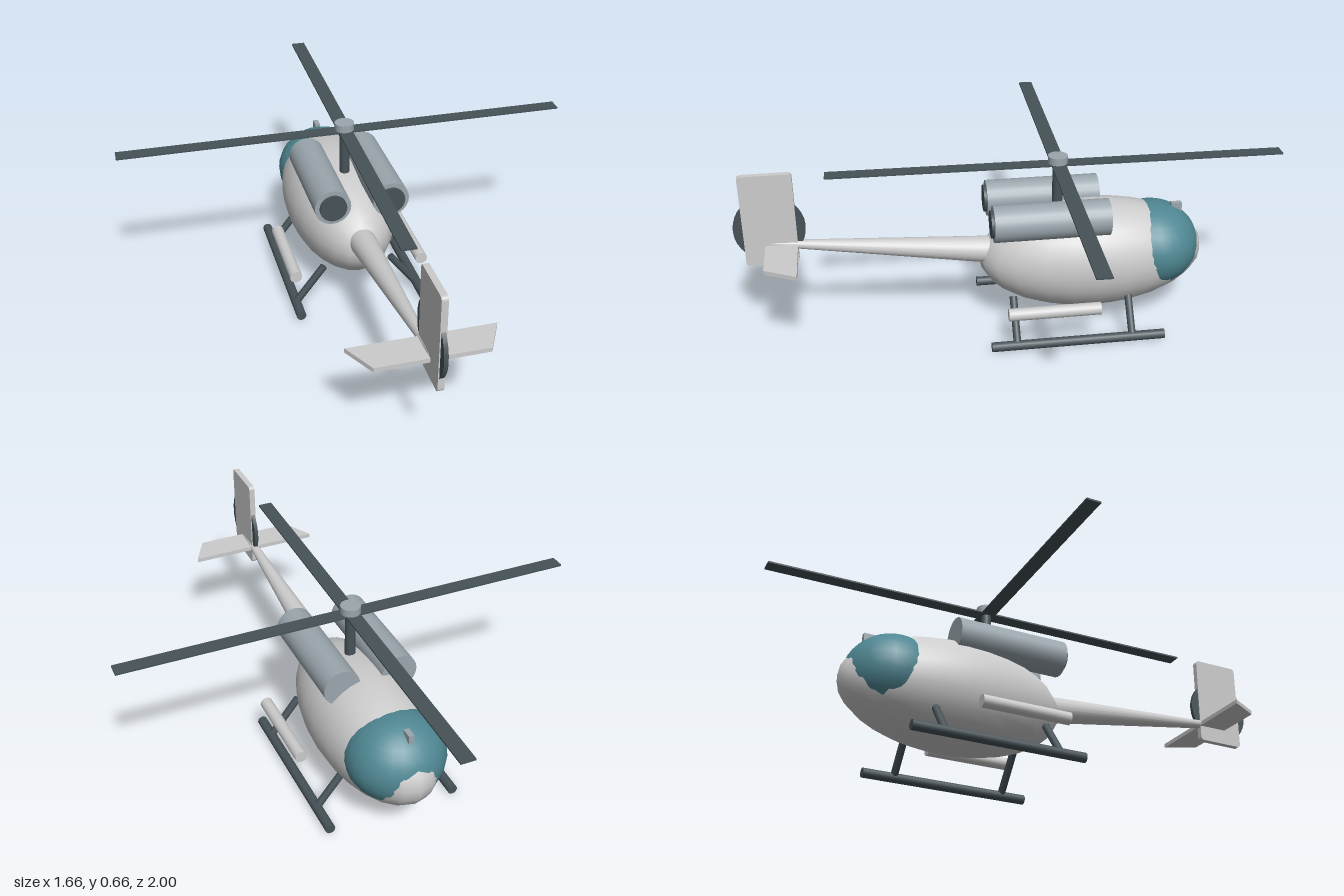
import * as THREE from 'three';

const paint = (color) => new THREE.MeshStandardMaterial({ color });

export function createModel() {
  const model = new THREE.Group();
  const grey = paint(0xcccccc);
  const steel = paint(0x9aa6ad);
  const dark = paint(0x465258);
  const glass = paint(0x4f8793);

  function add(name, geometry, material, x = 0, y = 0, z = 0) {
    const mesh = new THREE.Mesh(geometry, material);
    mesh.name = name;
    mesh.position.set(x, y, z);
    model.add(mesh);
    return mesh;
  }

  // Round bar from a to b, radius r0 at a and r1 at b
  function bar(name, a, b, r0, r1, material, sides = 20) {
    const from = new THREE.Vector3(...a);
    const to = new THREE.Vector3(...b);
    const axis = to.clone().sub(from);
    const mesh = add(name, new THREE.CylinderGeometry(r1, r0, axis.length(), sides), material);
    mesh.position.copy(from).add(to).multiplyScalar(0.5);
    mesh.quaternion.setFromUnitVectors(new THREE.Vector3(0, 1, 0), axis.normalize());
    return mesh;
  }

  function ellipsoid(name, radii, material, x, y, z) {
    const geometry = new THREE.SphereGeometry(1, 24, 16).scale(...radii);
    return add(name, geometry, material, x, y, z);
  }

  // Fuselage with the nose towards -z, and a canopy bulging through it
  ellipsoid('fuselage', [0.2, 0.206, 0.422], grey, 0, 0.26, -0.3);
  ellipsoid('canopy', [0.178, 0.16, 0.175], glass, 0, 0.28, -0.53);
  add('noseSensor', new THREE.BoxGeometry(0.02, 0.05, 0.04), steel, 0, 0.412, -0.62);

  // Tail boom
  bar('tailBoom', [0, 0.29, 0.05], [0, 0.38, 0.87], 0.052, 0.012, grey);

  // Vertical fin with slightly rounded corners, in the side plane
  const w = 0.094, h = 0.175, r = 0.015;
  const finShape = new THREE.Shape();
  finShape.moveTo(-w + r, -h);
  finShape.lineTo(w - r, -h);
  finShape.quadraticCurveTo(w, -h, w, -h + r);
  finShape.lineTo(w, h - r);
  finShape.quadraticCurveTo(w, h, w - r, h);
  finShape.lineTo(-w + r, h);
  finShape.quadraticCurveTo(-w, h, -w, h - r);
  finShape.lineTo(-w, -h + r);
  finShape.quadraticCurveTo(-w, -h, -w + r, -h);
  const finGeometry = new THREE.ExtrudeGeometry(finShape, { depth: 0.022, bevelEnabled: false });
  finGeometry.translate(0, 0, -0.011).rotateY(Math.PI / 2);
  add('tailFin', finGeometry, grey, 0, 0.475, 0.869);

  // Tail rotor disc
  bar('tailRotor', [-0.007, 0.44, 0.87], [0.007, 0.44, 0.87], 0.127, 0.127, dark, 32);

  // Tapered horizontal stabiliser
  const stabiliserShape = new THREE.Shape([
    new THREE.Vector2(-0.25, 0.775), new THREE.Vector2(0.25, 0.775),
    new THREE.Vector2(0.19, 0.89), new THREE.Vector2(-0.19, 0.89),
  ]);
  const stabiliserGeometry = new THREE.ExtrudeGeometry(stabiliserShape, { depth: 0.016, bevelEnabled: false });
  add('stabiliser', stabiliserGeometry.rotateX(Math.PI / 2), grey, 0, 0.376, 0);

  // Main rotor
  const hubZ = -0.168;
  bar('mast', [0, 0.4, hubZ], [0, 0.63, hubZ], 0.019, 0.019, dark);
  bar('rotorHub', [0, 0.625, hubZ], [0, 0.656, hubZ], 0.036, 0.036, steel);
  for (let i = 0; i < 2; i++) {
    const blades = add('rotorBladePair', new THREE.BoxGeometry(1.664, 0.006, 0.052), dark, 0, 0.626, hubZ);
    blades.rotation.y = -0.015 + i * Math.PI / 2;
  }

  // Parts mirrored on both sides
  for (const s of [-1, 1]) {
    bar('engine', [s * 0.108, 0.452, 0.082], [s * 0.108, 0.452, -0.338], 0.067, 0.067, steel, 24);
    bar('exhaust', [s * 0.108, 0.452, 0.092], [s * 0.108, 0.452, 0.0], 0.05, 0.05, dark, 24);
    bar('sidePod', [s * 0.243, 0.152, 0.046], [s * 0.243, 0.152, -0.29], 0.023, 0.023, grey);
    bar('skid', [s * 0.24, 0.018, 0.107], [s * 0.24, 0.018, -0.535], 0.018, 0.018, dark, 16);
    for (const z of [0.013, -0.415]) {
      bar('skidStrut', [s * 0.24, 0.018, z], [s * 0.13, 0.16, z], 0.014, 0.014, dark, 12);
    }
  }

  return model;
}
